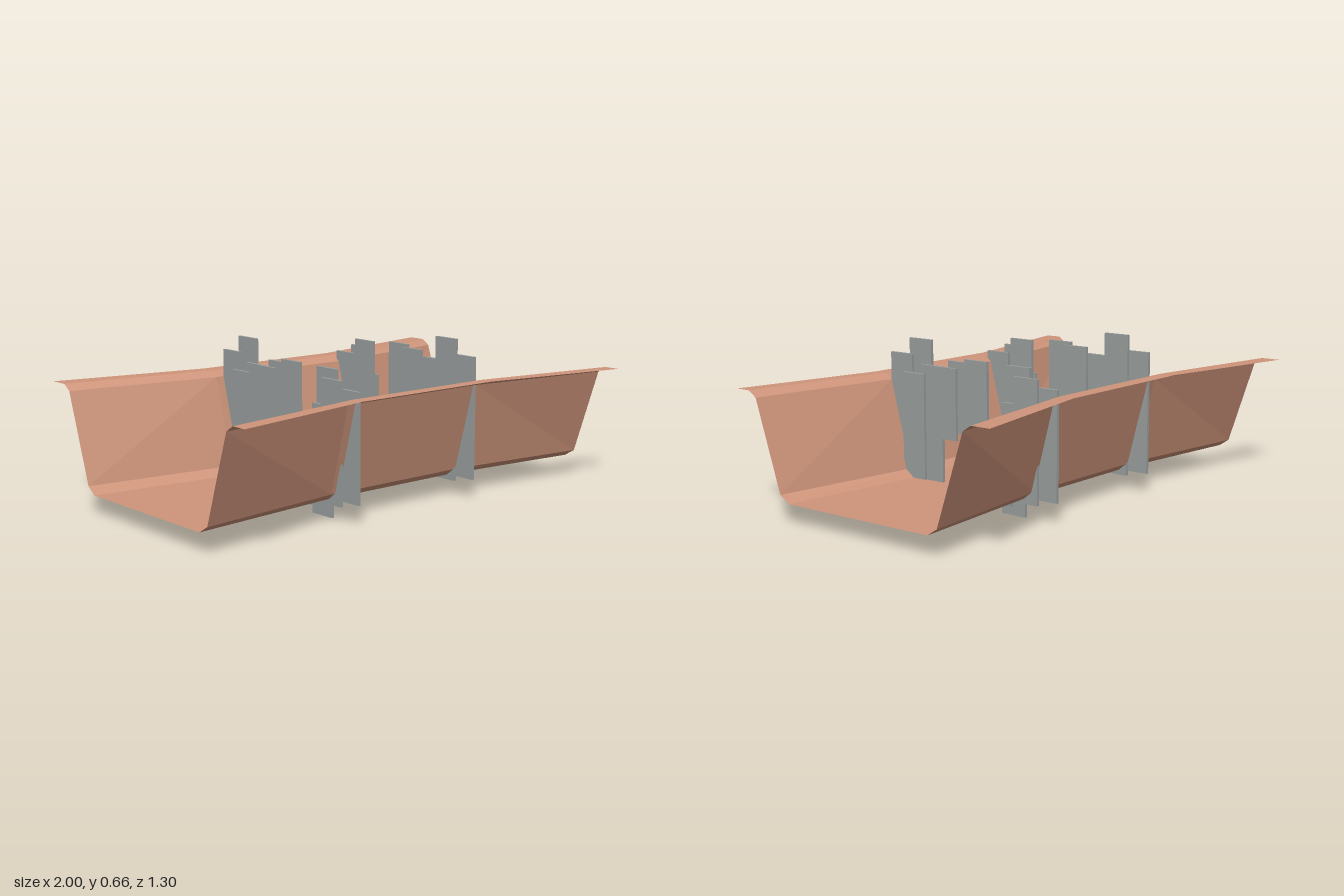
import * as THREE from 'three';

const COPPER = new THREE.MeshStandardMaterial({ color: 0xcf957b, side: THREE.DoubleSide, flatShading: true });
const STEEL = new THREE.MeshStandardMaterial({ color: 0x9aa09f, flatShading: true });

// Cross-section of the channel from back lip to front lip: [y, z at the waist, z at the flared ends]
const PROFILE = [
  [0.505, -0.523, -0.652], [0.505, -0.456, -0.567], [0.48, -0.427, -0.53], [0.11, -0.328, -0.405], [0.08, -0.29, -0.36],
  [0.08, 0.292, 0.362], [0.11, 0.332, 0.412], [0.48, 0.431, 0.537], [0.505, 0.459, 0.575], [0.505, 0.517, 0.645],
];

// Thin open channel, narrow in the middle and flaring to both ends
function makeChannel() {
  const stations = [[-1, 2], [-0.348, 1], [0.348, 1], [1, 2]];
  const positions = [], index = [], n = PROFILE.length;
  stations.forEach(([x, column], i) => {
    PROFILE.forEach((p, j) => {
      positions.push(x, p[0], p[column]);
      if (i < stations.length - 1 && j < n - 1) {
        const a = i * n + j;
        index.push(a, a + 1, a + n, a + 1, a + n + 1, a + n);
      }
    });
  });
  const geometry = new THREE.BufferGeometry();
  geometry.setAttribute('position', new THREE.Float32BufferAttribute(positions, 3));
  geometry.setIndex(index);
  geometry.computeVertexNormals();
  const channel = new THREE.Mesh(geometry, COPPER);
  channel.name = 'flaredChannel';
  return channel;
}

// Upright slats of one screen, front to back: [x, centre z, bottom, top]
const SLATS = [
  [0.340, 0.372, 0.08, 0.597],
  [0.330, 0.275, 0.06, 0.663],
  [0.360, 0.289, 0.077, 0.523],
  [0.350, 0.199, 0.063, 0.562],
  [0.358, 0.119, 0.265, 0.562],
  [0.346, 0.049, 0.293, 0.59],
  [0.352, -0.040, 0.307, 0.604],
  [0.355, -0.164, 0.035, 0.33],
  [0.344, -0.228, 0.0, 0.45],
  [0.330, -0.239, 0.08, 0.597],
  [0.360, -0.300, 0.06, 0.562],
  [0.342, -0.383, 0.08, 0.527],
];

function makeScreen(name, slats) {
  const screen = new THREE.Group();
  screen.name = name;
  for (const [x, z, bottom, top] of slats) {
    const slat = new THREE.Mesh(new THREE.BoxGeometry(0.013, top - bottom, 0.119), STEEL);
    slat.position.set(x, (bottom + top) / 2, z);
    slat.name = 'slat';
    screen.add(slat);
  }
  return screen;
}

export function createModel() {
  const model = new THREE.Group();
  model.name = 'channelWithScreens';
  model.add(makeChannel());
  model.add(makeScreen('leftScreen', SLATS));
  // The other screen is turned half around and has low slats closing the gap at the floor
  const turned = SLATS.map(([x, z, b, t]) => [0.037 - x, 0.005 - z, b, t]);
  const lowSlats = [[-0.304, 0.031, 0.045, 0.345], [-0.312, -0.049, 0.045, 0.345]];
  model.add(makeScreen('rightScreen', [...turned, ...lowSlats]));
  return model;
}
